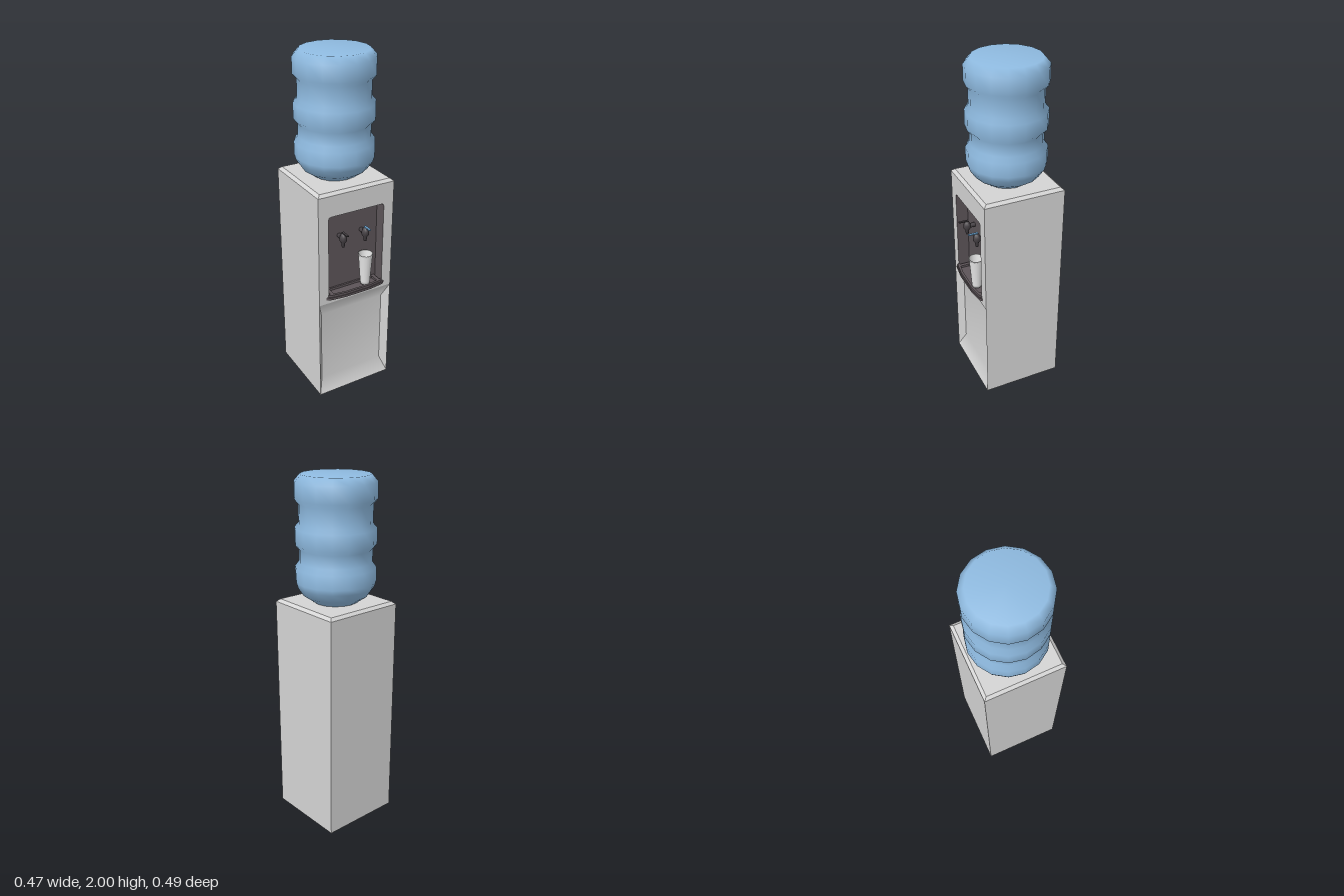
import * as THREE from 'three';

const HALF = 0.2325, MID_Z = -0.0145, FRONT = 0.218, NICHE_BACK = 0.15;

const mat = (name, color, side = THREE.FrontSide) => {
  const m = new THREE.MeshStandardMaterial({ color, side });
  m.name = name;
  return m;
};

// Flat-shaded surface from four-cornered faces, corners counter-clockwise
function quads(faces) {
  const pos = [];
  for (const [a, b, c, d] of faces) pos.push(...a, ...b, ...c, ...a, ...c, ...d);
  const g = new THREE.BufferGeometry();
  g.setAttribute('position', new THREE.Float32BufferAttribute(pos, 3));
  g.computeVertexNormals();
  return g;
}

// Square cross-section of the cabinet at height y
const ring = (y, inset) => [[1, 1], [1, -1], [-1, -1], [-1, 1]].map(
  ([sx, sz]) => [sx * (HALF - inset), y, MID_Z + sz * (HALF - inset)]);

const lathe = (pts, n) => new THREE.LatheGeometry(pts.map(p => new THREE.Vector2(...p)), n);

// Niche outline with small cut upper corners
const nicheOutline = [[-0.172, 0.69], [0.172, 0.69], [0.172, 1.175], [0.168, 1.186], [0.157, 1.19],
  [-0.157, 1.19], [-0.168, 1.186], [-0.172, 1.175]];
const toVectors = pts => pts.map(p => new THREE.Vector2(...p));

// Curved tray outline in plan: s scales the width, back and front set the depth
function trayShape(s, back, trim) {
  const half = [[0.19, 0.217], [0.168, 0.232], [0.08, 0.244]];
  const right = half.map(([x, z]) => [x * s, z - trim]);
  const left = right.map(([x, z]) => [-x, z]).reverse();
  return [[-0.168 * s, back], [0.168 * s, back], [0.168 * s, 0.216 - trim], ...right, ...left, [-0.168 * s, 0.216 - trim]];
}

export function createModel() {
  const model = new THREE.Group();
  const casing = mat('casing grey', 0xd4d4d4);
  const dark = mat('niche charcoal', 0x5c5458, THREE.DoubleSide);
  const black = mat('tap charcoal', 0x454044);
  const water = mat('bottle blue', 0x8fbbe1);
  const blue = mat('cold lever blue', 0x6fa9d8);
  const white = mat('cup white', 0xf2f2f2);

  const add = (name, geo, material, x = 0, y = 0, z = 0, parent = model) => {
    const m = new THREE.Mesh(geo, material);
    m.name = name;
    m.position.set(x, y, z);
    parent.add(m);
    return m;
  };

  // Cabinet sides, back, bevels, top and base
  const rings = [ring(0, 0.03), ring(0.03, 0), ring(1.31, 0), ring(1.325, 0.018)];
  const faces = [rings[3], [...rings[0]].reverse()];
  for (let r = 0; r < 3; r++) {
    for (let k = 0; k < 4; k++) {
      if (r === 1 && k === 3) continue; // the front is built separately
      const n = (k + 1) % 4;
      faces.push([rings[r][k], rings[r][n], rings[r + 1][n], rings[r + 1][k]]);
    }
  }
  // Slanted cheeks beside the hollow lower panel
  const rows = [[HALF, 0.66, FRONT], [0.2, 0.57, 0.178], [0.2, 0.12, 0.178], [HALF, 0.03, FRONT]];
  faces.push(rows, rows.map(([x, y, z]) => [-x, y, z]).reverse());
  add('cabinet', quads(faces), casing);

  // Hollow lower front, smooth from top to bottom
  const panel = new THREE.PlaneGeometry(1, 1, 1, 3);
  rows.forEach(([x, y, z], i) => {
    panel.attributes.position.setXYZ(i * 2, -x, y, z);
    panel.attributes.position.setXYZ(i * 2 + 1, x, y, z);
  });
  panel.computeVertexNormals();
  add('lowerFrontPanel', panel, casing);

  // Upper front with the niche opening
  const front = new THREE.Shape(toVectors([[-HALF, 0.66], [HALF, 0.66], [HALF, 1.31], [-HALF, 1.31]]));
  front.holes.push(new THREE.Path(toVectors(nicheOutline)));
  add('upperFrontPanel', new THREE.ShapeGeometry(front), casing, 0, 0, FRONT);

  // Niche
  const niche = new THREE.Group();
  niche.name = 'niche';
  model.add(niche);
  add('nicheBack', new THREE.ShapeGeometry(new THREE.Shape(toVectors(nicheOutline))), dark, 0, 0, NICHE_BACK, niche);
  const walls = nicheOutline.map((a, i) => {
    const b = nicheOutline[(i + 1) % nicheOutline.length];
    return [[...a, FRONT], [...b, FRONT], [...b, NICHE_BACK], [...a, NICHE_BACK]];
  });
  add('nicheWalls', quads(walls), dark, 0, 0, 0, niche);

  // Drip tray: solid base and raised rim
  const slab = (shape, depth) => new THREE.ExtrudeGeometry(shape, { depth, bevelEnabled: false }).rotateX(Math.PI / 2);
  add('dripTrayBase', slab(new THREE.Shape(toVectors(trayShape(1, 0.155, 0))), 0.014), dark, 0, 0.7, 0);
  const rim = new THREE.Shape(toVectors(trayShape(0.95, 0.155, 0.003)));
  rim.holes.push(new THREE.Path(toVectors([[-0.14, 0.165], [0.14, 0.165], [0.14, 0.218], [0.07, 0.228], [-0.07, 0.228], [-0.14, 0.218]])));
  add('dripTrayRim', slab(rim, 0.014), dark, 0, 0.714, 0);

  // Taps
  for (const [name, x, lever] of [['hotTap', -0.07, black], ['coldTap', 0.07, blue]]) {
    const tap = new THREE.Group();
    tap.name = name;
    tap.position.set(x, 0, 0);
    model.add(tap);
    add('stem', new THREE.CylinderGeometry(0.013, 0.013, 0.055, 10).rotateX(Math.PI / 2), black, 0, 1.03, 0.175, tap);
    add('spout', lathe([[0, 0.98], [0.008, 0.98], [0.011, 1.005], [0.021, 1.02], [0.021, 1.04], [0.012, 1.06], [0, 1.062]], 10),
      black, 0, 0, 0.197, tap);
    add('lever', new THREE.BoxGeometry(0.012, 0.006, 0.054), lever, 0, 1.065, 0.217, tap);
  }

  // Cup
  add('cup', lathe([[0, 0.712], [0.027, 0.712], [0.028, 0.73], [0.04, 0.893], [0.043, 0.896], [0.043, 0.902], [0.038, 0.902],
    [0.025, 0.72], [0, 0.72]], 16), white, 0.07, 0, 0.204);

  // Ribbed water bottle
  add('bottle', lathe([[0.11, 1.315], [0.125, 1.327], [0.18, 1.365], [0.21, 1.41], [0.219, 1.44], [0.219, 1.515], [0.197, 1.545],
    [0.197, 1.615], [0.219, 1.64], [0.219, 1.725], [0.197, 1.75], [0.197, 1.85], [0.219, 1.875], [0.219, 1.962],
    [0.186, 2], [0, 2]], 16), water, 0, 0, -0.015);

  return model;
}
